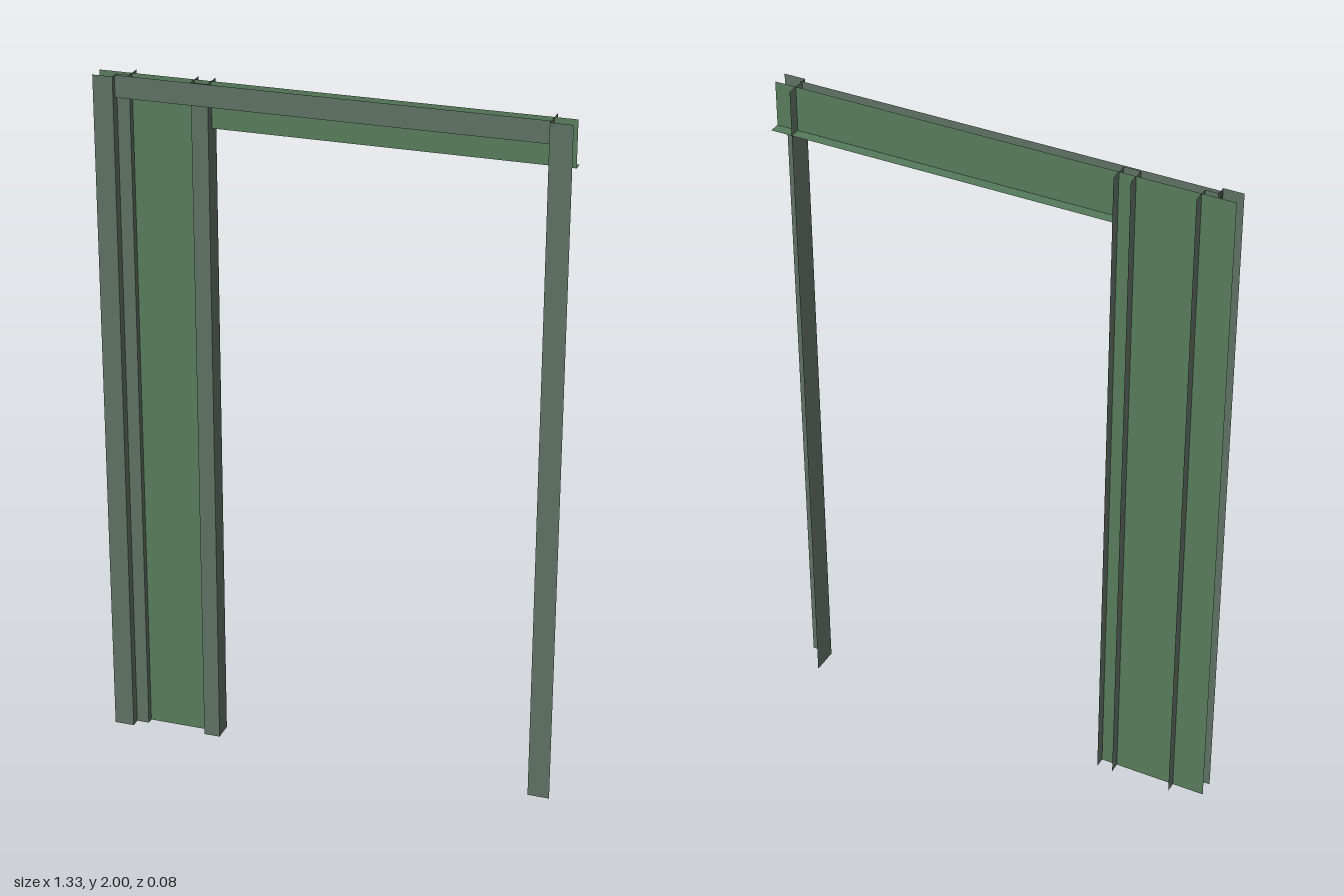
import * as THREE from 'three';

const frameGrey = new THREE.MeshStandardMaterial({ color: 0x5f7063, side: THREE.DoubleSide });
frameGrey.name = 'greyGreenFrame';
const panelGreen = new THREE.MeshStandardMaterial({ color: 0x567b5a, side: THREE.DoubleSide });
panelGreen.name = 'greenPanel';

// Folded sheet between two matching edge lines, with hard folds.
function sheet(name, material, edgeA, edgeB) {
  const positions = [];
  for (let i = 0; i < edgeA.length - 1; i++) {
    const [a, b, c, d] = [edgeA[i], edgeA[i + 1], edgeB[i + 1], edgeB[i]];
    positions.push(...a, ...b, ...c, ...a, ...c, ...d);
  }
  const geometry = new THREE.BufferGeometry();
  geometry.setAttribute('position', new THREE.Float32BufferAttribute(positions, 3));
  geometry.computeVertexNormals();
  const mesh = new THREE.Mesh(geometry, material);
  mesh.name = name;
  return mesh;
}

// Full-height sheet from a floor-plan profile of [x, z] points.
const upright = (name, material, profile) => sheet(name, material,
  profile.map(([x, z]) => [x, 0, z]), profile.map(([x, z]) => [x, 2, z]));

// Horizontal sheet from [y, z, startX, endX] points.
const rail = (name, material, profile) => sheet(name, material,
  profile.map(([y, z, x0]) => [x0, y, z]), profile.map(([y, z, , x1]) => [x1, y, z]));

export function createModel() {
  const group = new THREE.Group();
  group.name = 'doorFrame';

  group.add(
    // Side jambs: front trim folded back into the opening
    upright('leftJamb', frameGrey, [[0.665, 0.04], [0.602, 0.04], [0.602, -0.04]].reverse()),
    upright('rightJamb', frameGrey, [[-0.665, 0.04], [-0.607, 0.04], [-0.607, 0.012], [-0.57, 0.012], [-0.57, -0.04]]),
    // Post between the side panel and the doorway
    upright('middlePost', frameGrey, [[-0.39, -0.04], [-0.39, 0.02], [-0.342, 0.02], [-0.342, -0.04]]),
    // Fixed panel beside the doorway
    upright('sidePanel', panelGreen, [[-0.665, -0.008], [-0.342, -0.008]]),
    // Header trim with its soffit tapering towards the back
    rail('headerTrim', frameGrey, [[2, 0.025, -0.61, 0.608], [1.937, 0.025, -0.61, 0.608], [1.937, -0.007, -0.605, 0.603]].reverse()),
    // Lintel board with a ledge behind
    rail('lintel', panelGreen, [[2, -0.008, -0.342, 0.665], [1.868, -0.008, -0.342, 0.665], [1.868, -0.04, -0.342, 0.665]].reverse()),
  );
  return group;
}
